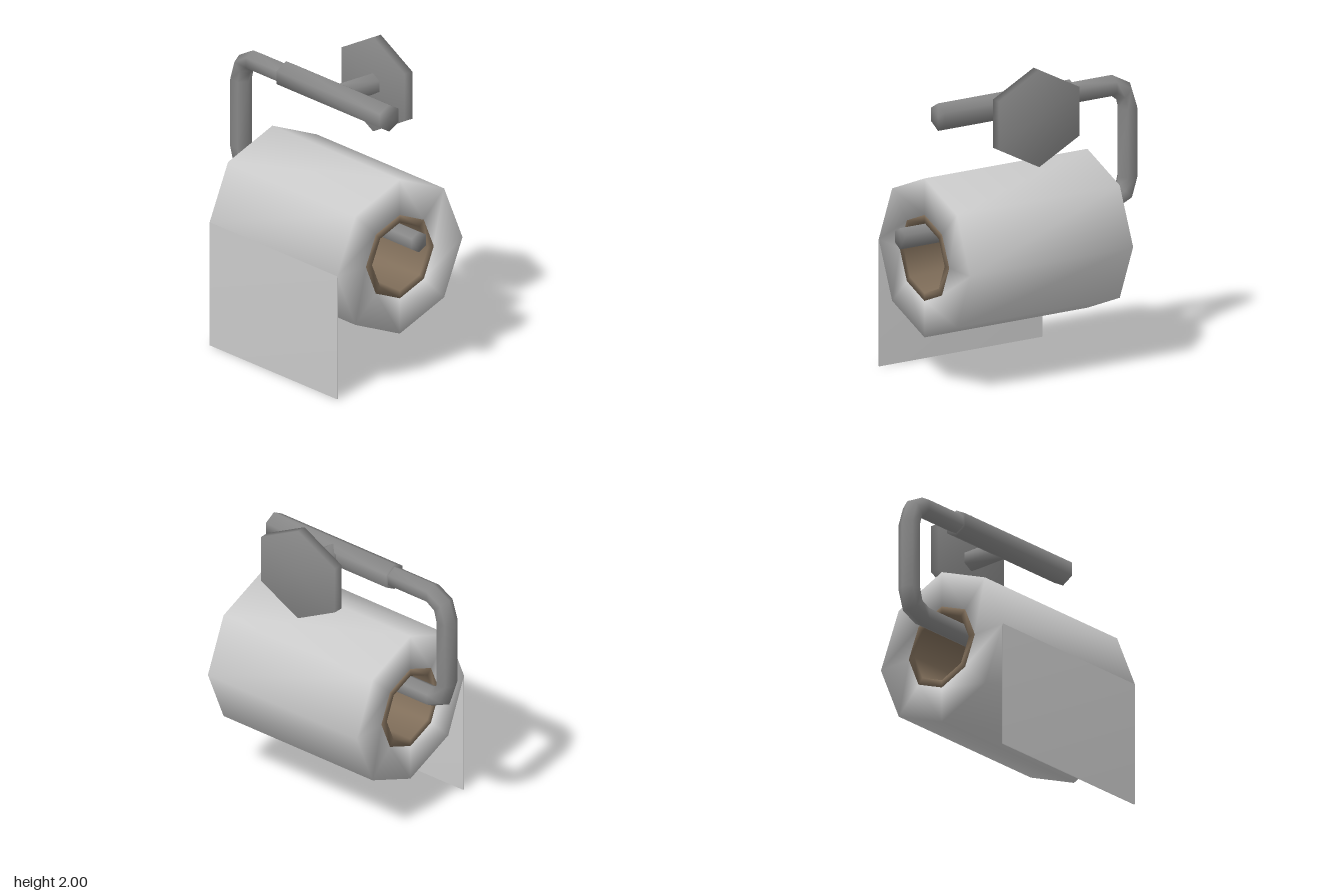
import * as THREE from 'three';
import { mergeVertices } from 'three/addons/utils/BufferGeometryUtils.js';

const paper = new THREE.MeshStandardMaterial({ color: 0xcccccc });
const metal = new THREE.MeshStandardMaterial({ color: 0x888888 });
const cardboard = new THREE.MeshStandardMaterial({ color: 0x806e5a });

// Weld all corners so that the low-poly shapes shade softly across their edges
function smooth(geometry) {
  geometry.deleteAttribute('uv');
  geometry.deleteAttribute('normal');
  const welded = mergeVertices(geometry, 1e-4);
  welded.computeVertexNormals();
  return welded;
}

function part(name, geometry, material, x = 0, y = 0, z = 0) {
  const mesh = new THREE.Mesh(smooth(geometry), material);
  mesh.name = name;
  mesh.position.set(x, y, z);
  return mesh;
}

// Six-sided bars with a corner pointing up, lying along x or z
const barX = (r, length) =>
  new THREE.CylinderGeometry(r, r, length, 6).rotateY(Math.PI / 2).rotateZ(Math.PI / 2);
const barZ = (r, length) =>
  new THREE.CylinderGeometry(r, r, length, 6).rotateX(Math.PI / 2);

// Eight-sided hollow cylinder along x
function ringX(inner, outer, length) {
  const h = length / 2;
  const profile = [[inner, h], [inner, -h], [outer, -h], [outer, h], [inner, h]]
    .map(([r, y]) => new THREE.Vector2(r, y));
  return new THREE.LatheGeometry(profile, 8).rotateZ(Math.PI / 2);
}

// Bent bar in the xy plane; each station is [x, y, heading in degrees]
function bentBar(stations, r, sides = 6) {
  const positions = [], index = [];
  stations.forEach(([x, y, heading], i) => {
    const h = THREE.MathUtils.degToRad(heading);
    for (let k = 0; k < sides; k++) {
      const a = (k / sides) * Math.PI * 2;
      const side = r * Math.cos(a);
      positions.push(x - Math.sin(h) * side, y + Math.cos(h) * side, r * Math.sin(a));
      if (i === 0) continue;
      const p = (i - 1) * sides, q = i * sides, n = (k + 1) % sides;
      index.push(p + k, p + n, q + n, p + k, q + n, q + k);
    }
  });
  // End caps
  const last = (stations.length - 1) * sides;
  for (let k = 1; k < sides - 1; k++) {
    index.push(0, k + 1, k, last, last + k, last + k + 1);
  }
  const geometry = new THREE.BufferGeometry();
  geometry.setAttribute('position', new THREE.Float32BufferAttribute(positions, 3));
  geometry.setIndex(index);
  return geometry;
}

export function createModel() {
  const model = new THREE.Group();
  model.name = 'toiletPaperHolder';

  // Wall bracket: plate, post and sleeve
  const bracket = new THREE.Group();
  bracket.name = 'wallBracket';
  bracket.add(
    part('wallPlate', barZ(0.31, 0.063).scale(1.108, 1, 1), metal, 0.087, 1.69, -0.333),
    part('post', barZ(0.07, 0.3), metal, 0.087, 1.693, -0.17),
    part('sleeve', barX(0.088, 0.97), metal, 0.105, 1.692, 0),
  );

  // Swinging arm that carries the roll
  const arm = part('rollArm', bentBar([
    [0.87, 0.96, 180], [-0.69, 0.96, 180], [-0.775, 1.0, 135], [-0.805, 1.1, 90],
    [-0.805, 1.54, 90], [-0.775, 1.642, 45], [-0.69, 1.692, 0], [-0.3, 1.692, 0],
  ], 0.068), metal);

  // Paper roll with its core and hanging sheet
  const roll = new THREE.Group();
  roll.name = 'paperRoll';
  roll.add(
    part('paper', ringX(0.272, 0.507, 1.2), paper, 0.09, 0.81, 0),
    part('core', ringX(0.225, 0.274, 1.202), cardboard, 0.09, 0.81, 0),
    part('hangingSheet', new THREE.BoxGeometry(1.2, 0.81, 0.01), paper, 0.09, 0.405, 0.503),
  );

  model.add(bracket, arm, roll);
  return model;
}
